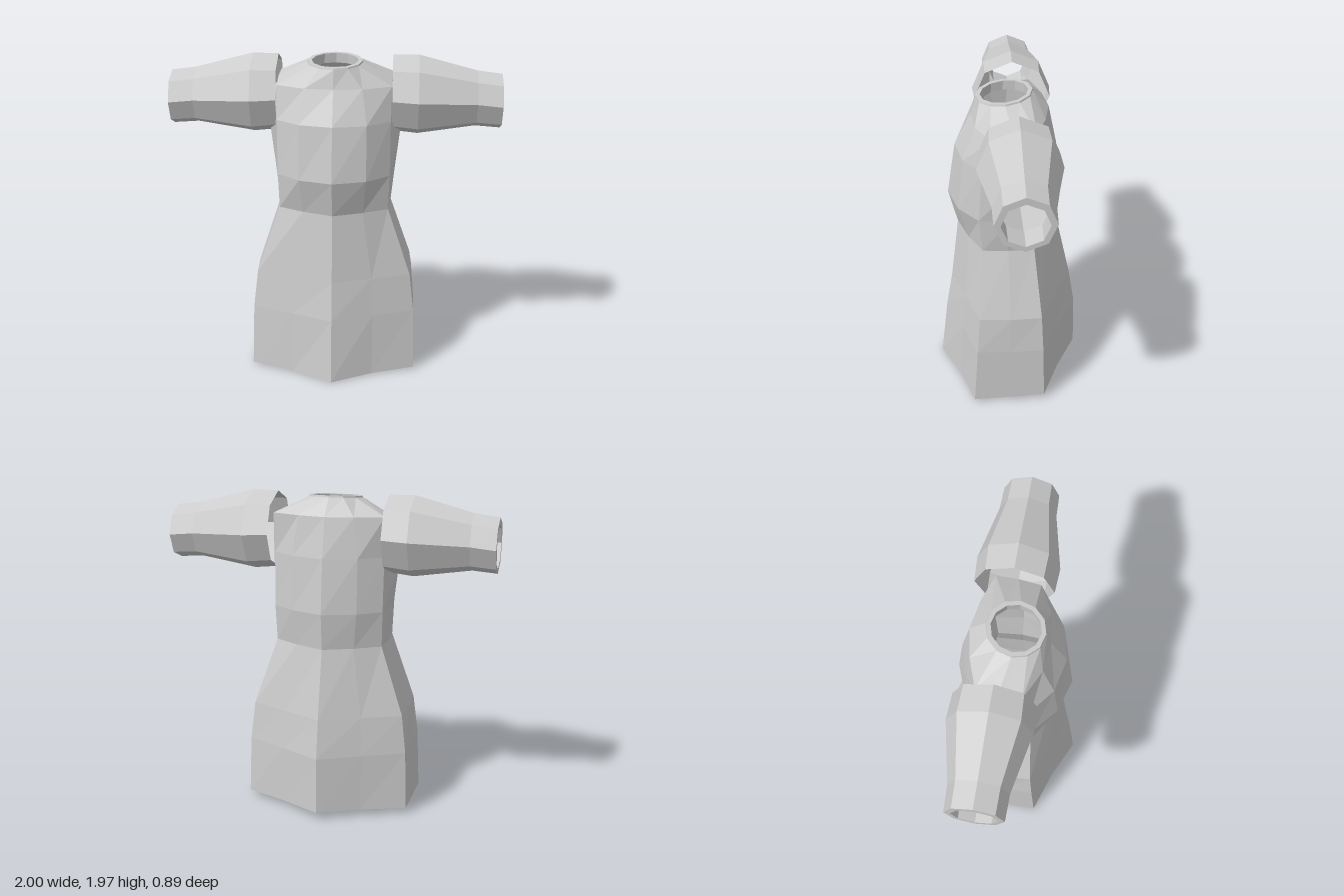
import * as THREE from 'three';

const cloth = new THREE.MeshStandardMaterial({ color: 0xcccccc, side: THREE.DoubleSide, flatShading: true });
cloth.name = 'grey cloth';

// Skin a list of closed rings (equal point counts) with quads.
function loft(name, rings, flip = false) {
  const n = rings[0].length, index = [];
  for (let i = 0; i < rings.length - 1; i++) {
    for (let j = 0; j < n; j++) {
      const k = (j + 1) % n;
      const a = i * n + j, b = i * n + k, c = a + n, d = b + n;
      if (flip) index.push(a, d, b, a, c, d);
      else index.push(a, b, d, a, d, c);
    }
  }
  const indexed = new THREE.BufferGeometry();
  indexed.setAttribute('position', new THREE.Float32BufferAttribute(rings.flat(2), 3));
  indexed.setIndex(index);
  const geometry = indexed.toNonIndexed();
  geometry.computeVertexNormals();
  const mesh = new THREE.Mesh(geometry, cloth);
  mesh.name = name;
  return mesh;
}

// Twelve-point body ring, mirrored from seven points running front to back.
function bodyRing([yF, yS, yB, zF, xM, zM, w, zC, wS, zBC, zBM, zB]) {
  const half = [
    [0, yF, zF], [xM, yF, zM], [w, yF, zC], [wS, yS, (zC + zBC) / 2],
    [w, yB, zBC], [xM, yB, zBM], [0, yB, zB],
  ];
  return [...half, ...half.slice(1, 6).reverse().map(([x, y, z]) => [-x, y, z])];
}

// Tilted neckline ring.
function neckRing(r, drop) {
  return Array.from({ length: 12 }, (_, j) => {
    const a = j * Math.PI / 6, z = 0.02 + r * Math.cos(a);
    return [r * Math.sin(a), 1.93 - drop + (0.18 - z) * 0.1, z];
  });
}

function sleeve(side) {
  // x, centre height, radius; the last two rings form the cuff lip
  const sections = [
    [0.345, 1.735, 0.233], [0.5, 1.728, 0.243], [0.85, 1.71, 0.17], [1, 1.695, 0.166],
    [1, 1.69, 0.13], [0.86, 1.695, 0.135],
  ];
  const rings = sections.map(([x, y, r]) => Array.from({ length: 8 }, (_, j) => {
    const a = j * Math.PI / 4;
    return [side * x, y + r * Math.cos(a), -0.045 + r * Math.sin(a)];
  }));
  return loft(side > 0 ? 'leftSleeve' : 'rightSleeve', rings, side < 0);
}

export function createModel() {
  const model = new THREE.Group();
  model.name = 'tunic';

  // front/side/back heights, then the outline from front point to back point
  const skirt = [
    [0, 0, 0, 0.445, 0.25, 0.325, 0.515, 0.235, 0.517, -0.21, -0.32, -0.45],
    [0.4, 0.4, 0.4, 0.4, 0.25, 0.3, 0.503, 0.21, 0.505, -0.2, -0.315, -0.44],
    [0.64, 0.64, 0.64, 0.36, 0.24, 0.275, 0.475, 0.192, 0.485, -0.188, -0.29, -0.4],
    [1.06, 1.06, 1.06, 0.31, 0.18, 0.245, 0.332, 0.165, 0.345, -0.145, -0.235, -0.307],
  ].map(bodyRing);
  // Hem rises towards the back
  const hem = skirt[0].map(([x, y, z]) => [x, y + (0.445 - z) * 0.055, z]);
  skirt[0] = hem;
  const inset = (s, lift) => hem.map(([x, y, z]) => [x * s, y + lift, z * s]);
  model.add(loft('skirt', [inset(0.93, 0.1), inset(0.94, 0.005), ...skirt]));

  // Bodice, with the side dipping under the arm and closing at the shoulder
  const bodice = [
    [1.28, 1.28, 1.28, 0.365, 0.2, 0.305, 0.338, 0.185, 0.368, -0.16, -0.255, -0.327],
    [1.61, 1.51, 1.61, 0.315, 0.2, 0.27, 0.34, 0.16, 0.395, -0.14, -0.235, -0.29],
    [1.81, 1.84, 1.85, 0.215, 0.17, 0.195, 0.343, 0.11, 0.345, -0.15, -0.21, -0.24],
  ].map(bodyRing);
  model.add(loft('bodice', [skirt[3], ...bodice, neckRing(0.168, 0.01)]));

  // Neckline with a thin inner lip
  model.add(loft('collar', [neckRing(0.168, 0.01), neckRing(0.165, 0), neckRing(0.14, 0), neckRing(0.145, 0.06)]));

  for (const side of [1, -1]) model.add(sleeve(side));
  return model;
}
